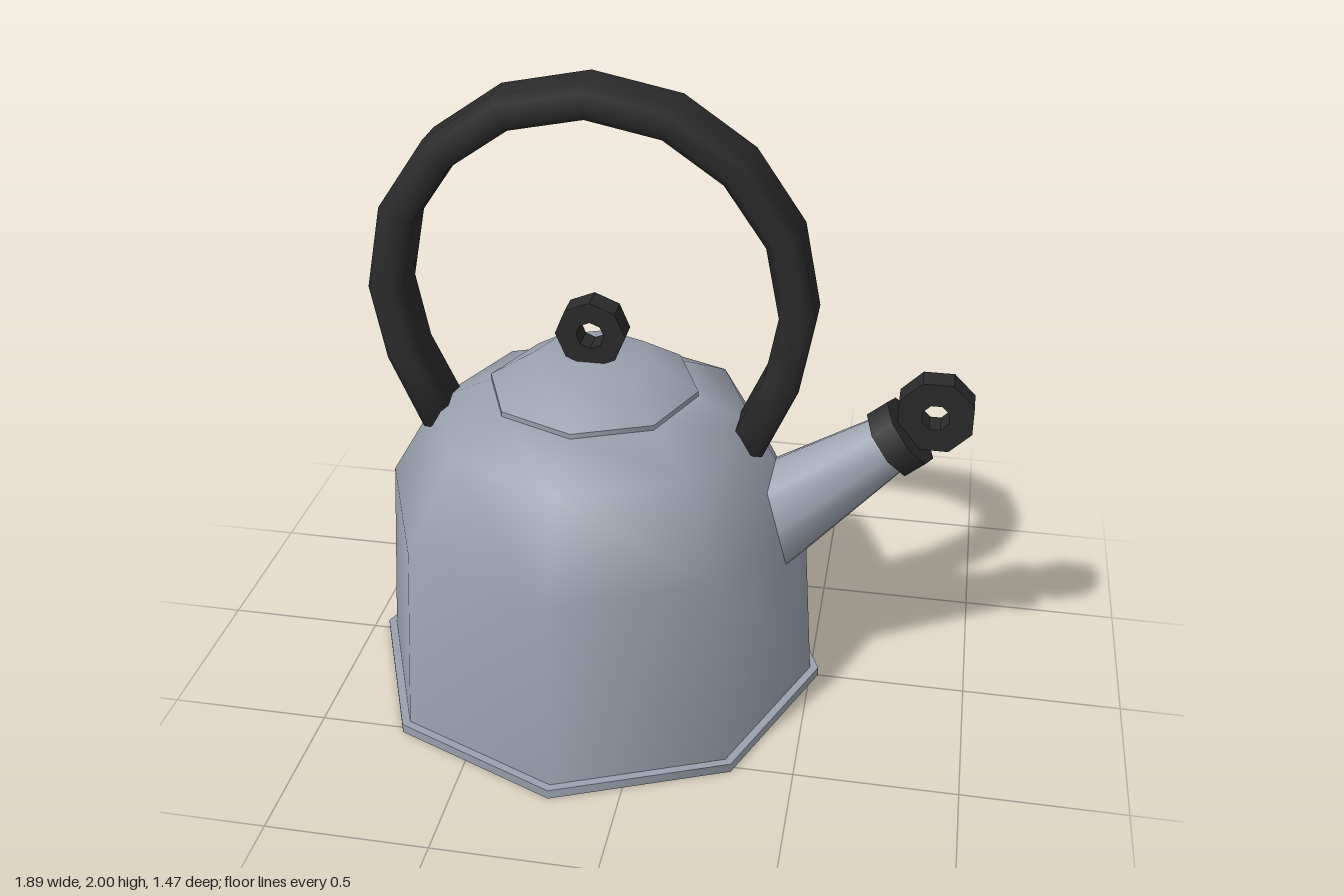
import * as THREE from 'three';

const AXIS_X = -0.21; // centre line of the pot
const SIDES = 8;

export function createModel() {
  const steel = new THREE.MeshStandardMaterial({ color: 0x9aa1ae });
  steel.name = 'brushed steel';
  const black = new THREE.MeshStandardMaterial({ color: 0x2b2b2b });
  black.name = 'black plastic';

  const kettle = new THREE.Group();
  kettle.name = 'kettle';
  const add = (name, geometry, material, x = 0, y = 0, parent = kettle) => {
    const mesh = new THREE.Mesh(geometry, material);
    mesh.name = name;
    mesh.position.set(x, y, 0);
    parent.add(mesh);
    return mesh;
  };
  const lathe = (points) =>
    new THREE.LatheGeometry(points.map(([r, y]) => new THREE.Vector2(r, y)), SIDES);

  // Pot: base plate, rounded body and lid
  add('basePlate', new THREE.CylinderGeometry(0.737, 0.737, 0.03, SIDES), steel, AXIS_X, 0.015);
  add('body', lathe([[0.71, 0.03], [0.668, 0.645], [0.507, 0.92], [0.32, 1.01], [0, 1.01]]), steel, AXIS_X);
  add('lidRim', new THREE.CylinderGeometry(0.327, 0.327, 0.016, SIDES), steel, AXIS_X, 1.017);
  add('lid', lathe([[0.327, 1.025], [0.185, 1.115], [0, 1.115]]), steel, AXIS_X);

  // Octagonal ring with a hole, used for the lid knob and the spout cap pull
  const ring = (radius, hole, turn) => {
    const outline = (r) => Array.from({ length: SIDES }, (_, i) => {
      const a = turn + (i * 2 * Math.PI) / SIDES;
      return new THREE.Vector2(Math.cos(a) * r, Math.sin(a) * r);
    });
    const shape = new THREE.Shape(outline(radius));
    shape.holes.push(new THREE.Path(outline(hole).reverse()));
    const geometry = new THREE.ExtrudeGeometry(shape, { depth: 0.08, bevelEnabled: false });
    return geometry.translate(0, 0, -0.04);
  };
  add('lidKnob', ring(0.108, 0.043, 0), black, AXIS_X, 1.205);

  // Spout assembly, built along y and tilted towards +x
  const spout = new THREE.Group();
  spout.name = 'spoutAssembly';
  spout.position.set(0.267, 0.541, 0);
  spout.rotation.z = -0.877;
  kettle.add(spout);
  add('spout', new THREE.CylinderGeometry(0.094, 0.187, 0.58, SIDES), steel, 0, 0.29, spout);
  add('spoutCap', new THREE.CylinderGeometry(0.117, 0.117, 0.076, SIDES), black, 0, 0.608, spout);
  add('spoutPull', ring(0.12, 0.043, Math.PI / 8), black, 0.835, 1.025);

  add('handle', handleGeometry(), black, AXIS_X);
  return kettle;
}

// Arched handle: a chamfered rectangular section swept over a mirrored path
function handleGeometry() {
  const half = [[0.485, 0.875], [0.585, 1.1], [0.625, 1.32], [0.577, 1.56], [0.44, 1.76], [0.245, 1.895]];
  const path = [
    ...half.map(([x, y]) => new THREE.Vector2(-x, y)),
    new THREE.Vector2(0, 1.945),
    ...half.slice().reverse().map(([x, y]) => new THREE.Vector2(x, y)),
  ];
  const section = [
    [0.055, -0.058], [0.055, 0.058], [0.028, 0.078], [-0.028, 0.078],
    [-0.055, 0.058], [-0.055, -0.058], [-0.028, -0.078], [0.028, -0.078],
  ];
  const n = section.length;
  const last = path.length - 1;
  const positions = [];
  const index = [];
  path.forEach((p, i) => {
    const t = path[Math.min(i + 1, last)].clone().sub(path[Math.max(i - 1, 0)]).normalize();
    const flare = i === 0 || i === last ? 1.1 : 1; // slightly wider feet
    for (const [r, z] of section) {
      positions.push(p.x - t.y * r, p.y + t.x * r, z * flare);
    }
  });
  for (let i = 0; i < last; i++) {
    for (let j = 0; j < n; j++) {
      const a = i * n + j;
      const b = i * n + ((j + 1) % n);
      index.push(a, b, a + n, b, b + n, a + n);
    }
  }
  // End caps
  for (let j = 1; j < n - 1; j++) {
    index.push(0, j + 1, j, last * n, last * n + j, last * n + j + 1);
  }
  const geometry = new THREE.BufferGeometry();
  geometry.setAttribute('position', new THREE.Float32BufferAttribute(positions, 3));
  geometry.setIndex(index);
  geometry.computeVertexNormals();
  return geometry;
}
